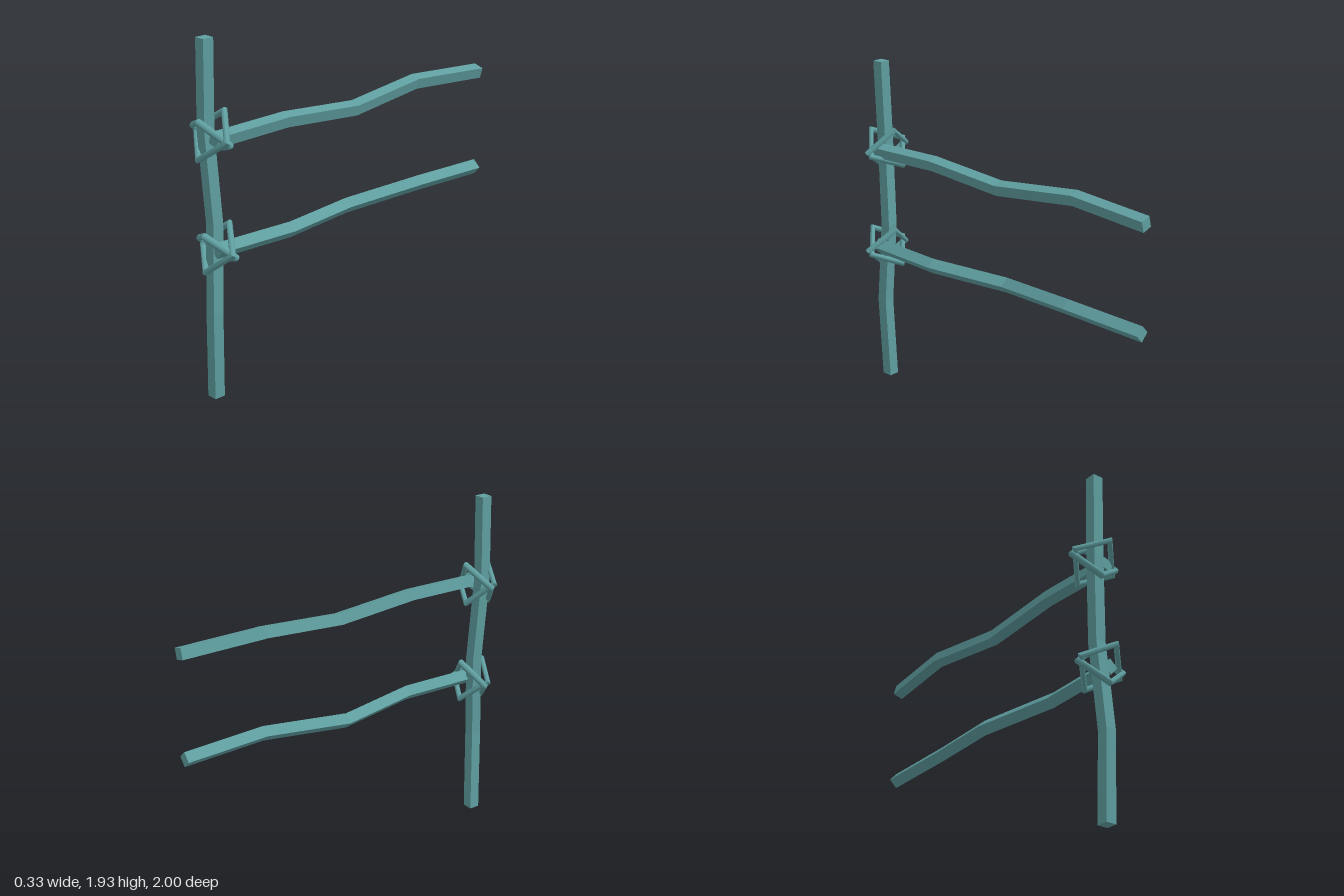
import * as THREE from 'three';
import { toCreasedNormals } from 'three/addons/utils/BufferGeometryUtils.js';

const WIDTH = 0.062;
const wood = new THREE.MeshStandardMaterial({ color: 0x5f9ea0, flatShading: true });
const rope = new THREE.MeshStandardMaterial({ color: 0x5f9ea0 });

// Square beam whose cross-sections follow a crooked line of points.
// The points run from the top down (upright) or from front to back (rail).
function beam(name, points, twist, upright) {
  const n = points.length - 1;
  const geo = new THREE.BoxGeometry(WIDTH, WIDTH, 1, 1, 1, n);
  const pos = geo.attributes.position;
  const c = Math.cos(twist), s = Math.sin(twist);
  for (let i = 0; i < pos.count; i++) {
    const [px, py, pz] = points[Math.round((0.5 - pos.getZ(i)) * n)];
    const u = pos.getX(i) * c - pos.getY(i) * s;
    const v = pos.getX(i) * s + pos.getY(i) * c;
    if (upright) pos.setXYZ(i, px + v, py, pz + u);
    else pos.setXYZ(i, px + u, py + v, pz);
  }
  geo.computeVertexNormals();
  const mesh = new THREE.Mesh(geo, wood);
  mesh.name = name;
  return mesh;
}

// Two four-sided rope loops crossed around the joint of post and rail
function lashing(name, x, y, z, roll) {
  const group = new THREE.Group();
  group.name = name;
  const geo = toCreasedNormals(new THREE.TorusGeometry(0.138, 0.019, 8, 4), 0.9);
  [[0.8, 0.08, roll - 0.07], [-0.58, -0.08, roll + 0.07]].forEach(([tilt, yaw, turn], i) => {
    const loop = new THREE.Mesh(geo, rope);
    loop.name = 'ropeLoop' + (i + 1);
    loop.rotation.set(tilt, yaw, turn, 'ZYX');
    group.add(loop);
  });
  group.position.set(x, y, z);
  return group;
}

export function createModel() {
  const model = new THREE.Group();
  model.name = 'fenceSection';

  // Upright post
  model.add(beam('post', [
    [-0.005, 1.935, 0.91], [-0.02, 1.45, 0.91], [-0.005, 0.97, 0.885],
    [0.012, 0.49, 0.915], [-0.005, 0, 0.91],
  ], 0, true));

  // Crooked rails running back from the post
  model.add(beam('upperRail', [
    [0.055, 1.428, 0.92], [0.05, 1.437, 0.45], [0.05, 1.4, -0.03],
    [0.018, 1.447, -0.52], [0.057, 1.428, -1],
  ], -0.28, false));
  model.add(beam('lowerRail', [
    [0.05, 0.842, 0.92], [0.072, 0.839, 0.45], [-0.013, 0.827, -0.03],
    [0.058, 0.858, -0.52], [0.055, 0.843, -1],
  ], -0.75, false));

  // Rope lashings
  model.add(lashing('upperLashing', -0.007, 1.434, 0.885, -0.13));
  model.add(lashing('lowerLashing', 0.013, 0.84, 0.885, -0.07));
  return model;
}
